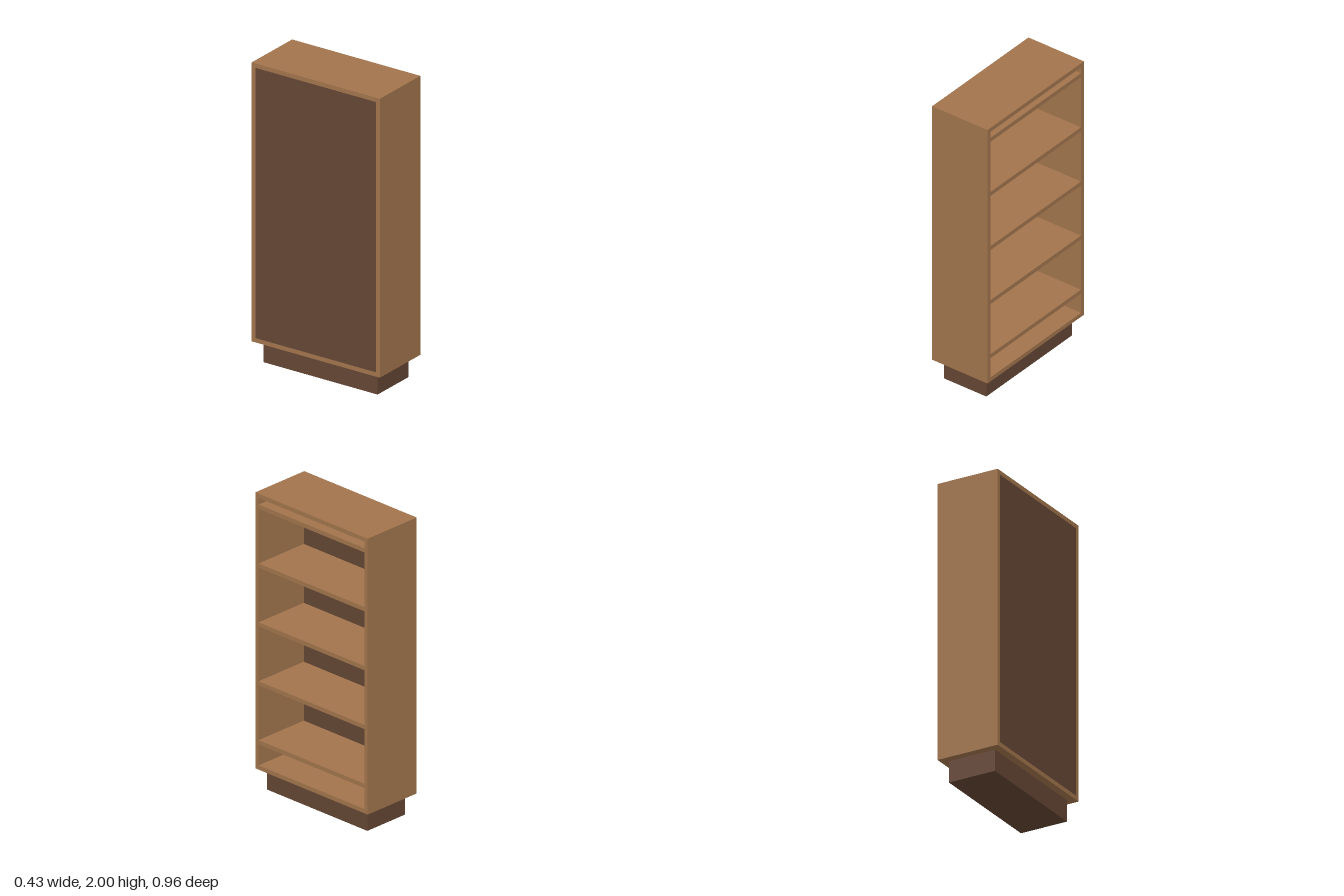
import * as THREE from 'three';

export function createModel() {
  const wood = new THREE.MeshStandardMaterial({ color: 0xa1744c });
  wood.name = 'oak brown';
  const dark = new THREE.MeshStandardMaterial({ color: 0x644634 });
  dark.name = 'dark brown';

  const model = new THREE.Group();
  model.name = 'bookcase';

  // Box given by its lower and upper corners
  const board = (name, material, [x0, y0, z0], [x1, y1, z1]) => {
    const mesh = new THREE.Mesh(new THREE.BoxGeometry(x1 - x0, y1 - y0, z1 - z0), material);
    mesh.position.set((x0 + x1) / 2, (y0 + y1) / 2, (z0 + z1) / 2);
    mesh.name = name;
    model.add(mesh);
  };

  const X = 0.214, Z = 0.479; // half depth and half width
  const T = 0.029;            // board thickness
  const base = 0.143, top = 2;
  const inner = Z - T;
  const backFace = -X + 0.034; // inner face of the back panel

  // Recessed plinth
  board('plinth', dark, [-0.164, 0, -0.427], [0.164, base, 0.427]);

  // Carcass, open towards +x
  board('leftSide', wood, [-X, base, inner], [X, top, Z]);
  board('rightSide', wood, [-X, base, -Z], [X, top, -inner]);
  board('bottomBoard', wood, [-X, base, -inner], [X, base + T, inner]);
  board('topBoard', wood, [-X, top - T, -inner], [X, top, inner]);

  // Back panel set between the boards
  board('backPanel', dark, [-X, base + T, -inner], [backFace, top - T, inner]);

  // Evenly spaced shelves, the uppermost just under the top
  for (let i = 0; i < 5; i++) {
    const y = 0.313 + i * 0.3963;
    board('shelf' + (i + 1), wood, [backFace, y, -inner], [X, y + T, inner]);
  }
  return model;
}
